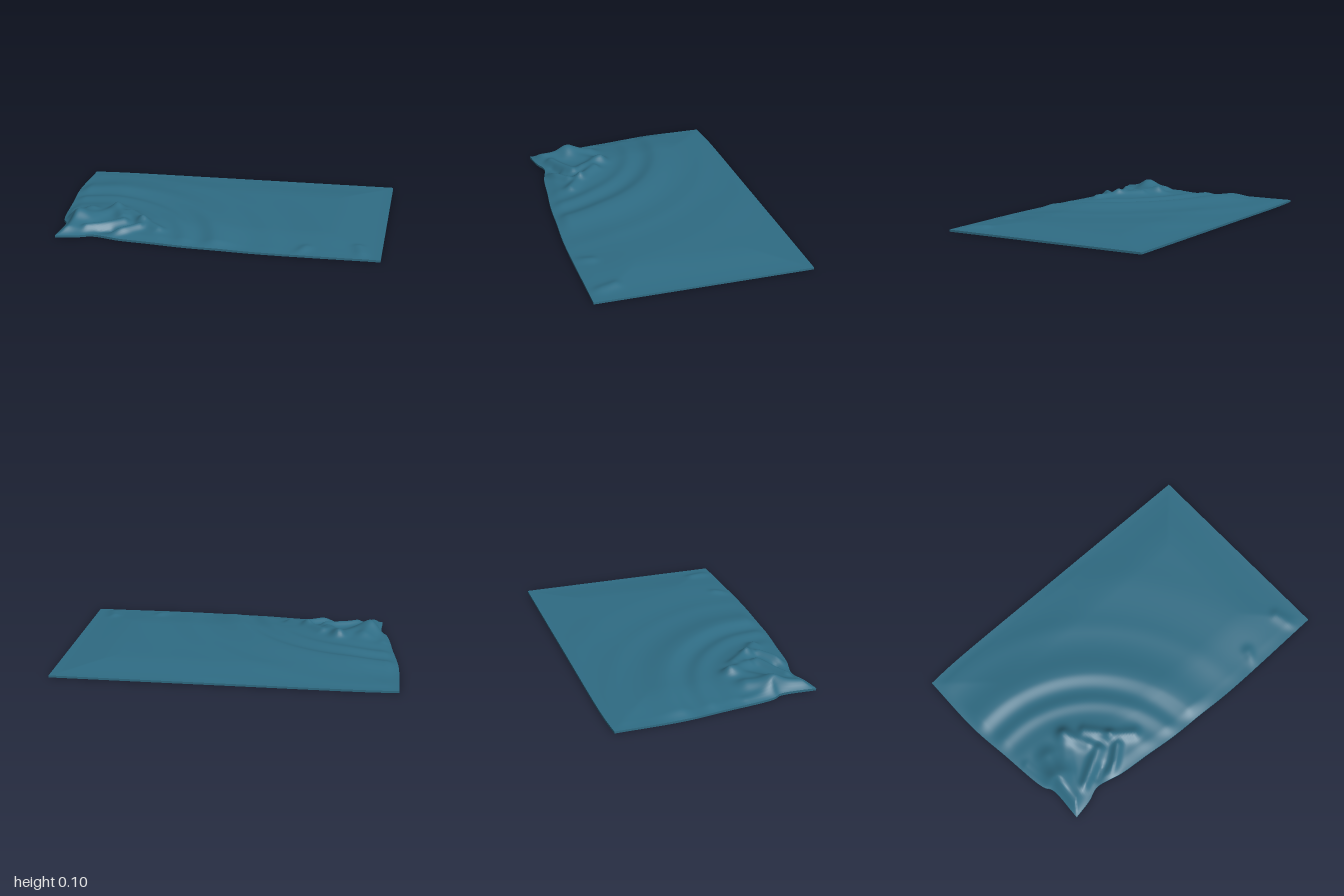
import * as THREE from 'three';

const NU = 150, NV = 110;
const curve = (pts) => new THREE.CatmullRomCurve3(pts.map(([x, z]) => new THREE.Vector3(x, 0, z)));

// Outline of the spread cloth, as [x, z] points
const back = curve([[-0.98, -0.685], [-0.8, -0.685], [0, -0.64], [1, -0.58]]);
const front = curve([[-0.95, 0.525], [-0.83, 0.51], [-0.74, 0.485], [-0.58, 0.53], [-0.4, 0.56],
  [-0.2, 0.595], [0, 0.617], [0.25, 0.645], [0.92, 0.68]]);
const left = curve([[-0.98, -0.685], [-1, -0.3], [-0.985, -0.05], [-0.96, 0.26], [-0.935, 0.31], [-0.95, 0.525]]);
const right = curve([[1, -0.58], [0.92, 0.68]]);

const gauss = (d, w) => Math.exp(-(d * d) / (w * w));
const smooth = THREE.MathUtils.smoothstep;

// Short folds in the rumpled corner: x1, z1, x2, z2, width, height
const folds = [
  [-0.92, 0.45, -0.87, 0.3, 0.075, 0.036],
  [-0.87, 0.3, -0.82, 0.16, 0.06, 0.036],
  [-0.8, 0.3, -0.66, 0.13, 0.045, 0.018],
  [-0.66, 0.13, -0.6, 0.27, 0.04, 0.028],
  [-0.78, 0.43, -0.58, 0.34, 0.035, 0.03],
  [-0.56, 0.2, -0.47, 0.32, 0.035, 0.026],
  [-0.47, 0.33, -0.36, 0.42, 0.035, 0.022],
  [-0.62, 0.5, -0.48, 0.4, 0.03, 0.03],
  [-0.7, 0.45, -0.64, 0.43, 0.03, -0.02],
  [-0.95, 0.1, -0.93, 0.28, 0.03, 0.018],
  [0.46, 0.66, 0.5, 0.56, 0.035, 0.012],
  [0.82, 0.66, 0.8, 0.52, 0.035, 0.012],
];

function foldHeight(x, z, [x1, z1, x2, z2, width, height]) {
  const dx = x2 - x1, dz = z2 - z1;
  const t = THREE.MathUtils.clamp(((x - x1) * dx + (z - z1) * dz) / (dx * dx + dz * dz), 0, 1);
  return height * gauss(Math.hypot(x - x1 - t * dx, z - z1 - t * dz), width);
}

// Height of the cloth: a low swell, ripples around one corner, and folds
function clothHeight(x, z, u, v) {
  const edge = Math.min(u * 1.95, (1 - u) * 1.95, v * 1.2, (1 - v) * 1.2);
  const r = Math.hypot(x + 0.9, z - 0.6);
  let h = 0.021 * smooth(edge, 0, 0.32);
  h += 0.024 * gauss(r - 0.89, r > 0.89 ? 0.12 : 0.065);
  h += 0.016 * gauss(r - 0.71, 0.055);
  h += 0.007 * gauss(r - 0.56, 0.06);
  h += 0.004 * gauss(r - 1.2, 0.07) + 0.004 * gauss(r - 1.52, 0.12);
  h += 0.012 * (1 - smooth(r, 0.4, 0.8));
  for (const f of folds) h += foldHeight(x, z, f);
  return 0.012 + Math.max(0, h) * smooth(edge, -0.012, 0.075);
}

// Point inside the outline, blended from its four edges
function spread(u, v) {
  const p = new THREE.Vector3();
  p.addScaledVector(back.getPointAt(u), 1 - v).addScaledVector(front.getPointAt(u), v);
  p.addScaledVector(left.getPointAt(v), 1 - u).addScaledVector(right.getPointAt(v), u);
  p.addScaledVector(back.getPoint(0), -(1 - u) * (1 - v)).addScaledVector(back.getPoint(1), -u * (1 - v));
  p.addScaledVector(front.getPoint(0), -(1 - u) * v).addScaledVector(front.getPoint(1), -u * v);
  return p;
}

// Grid surface whose vertices are placed by a rule
function surface(nu, nv, place, flip = false) {
  const pos = [], index = [];
  for (let j = 0; j <= nv; j++) {
    for (let i = 0; i <= nu; i++) {
      const p = place(i / nu, j / nv);
      pos.push(p.x, p.y, p.z);
      if (i === nu || j === nv) continue;
      const a = j * (nu + 1) + i, b = a + 1, c = a + nu + 1, d = c + 1;
      if (flip) index.push(a, b, c, b, d, c);
      else index.push(a, c, b, b, c, d);
    }
  }
  const g = new THREE.BufferGeometry();
  g.setAttribute('position', new THREE.Float32BufferAttribute(pos, 3));
  g.setIndex(index);
  g.computeVertexNormals();
  return g;
}

export function createModel() {
  const group = new THREE.Group();
  group.name = 'rumpledBlanket';
  const cloth = new THREE.MeshStandardMaterial({ color: 0x2f6c84, side: THREE.DoubleSide });
  cloth.name = 'tealCloth';
  const add = (name, geometry) => {
    const mesh = new THREE.Mesh(geometry, cloth);
    mesh.name = name;
    group.add(mesh);
  };
  const topPoint = (u, v) => {
    const p = spread(u, v);
    p.y = clothHeight(p.x, p.z, u, v);
    return p;
  };

  // Wrinkled upper face and flat underside
  add('blanketTop', surface(NU, NV, topPoint));
  add('blanketUnderside', surface(NU, NV, spread, true));

  // Thin hems joining the two faces
  const hem = (name, n, toUV, flip) => add(name, surface(n, 1, (t, s) => {
    const [u, v] = toUV(t);
    const p = topPoint(u, v);
    p.y *= 1 - s;
    return p;
  }, flip));
  hem('frontHem', NU, (t) => [t, 1], false);
  hem('backHem', NU, (t) => [t, 0], true);
  hem('leftHem', NV, (t) => [0, t], false);
  hem('rightHem', NV, (t) => [1, t], true);
  return group;
}
